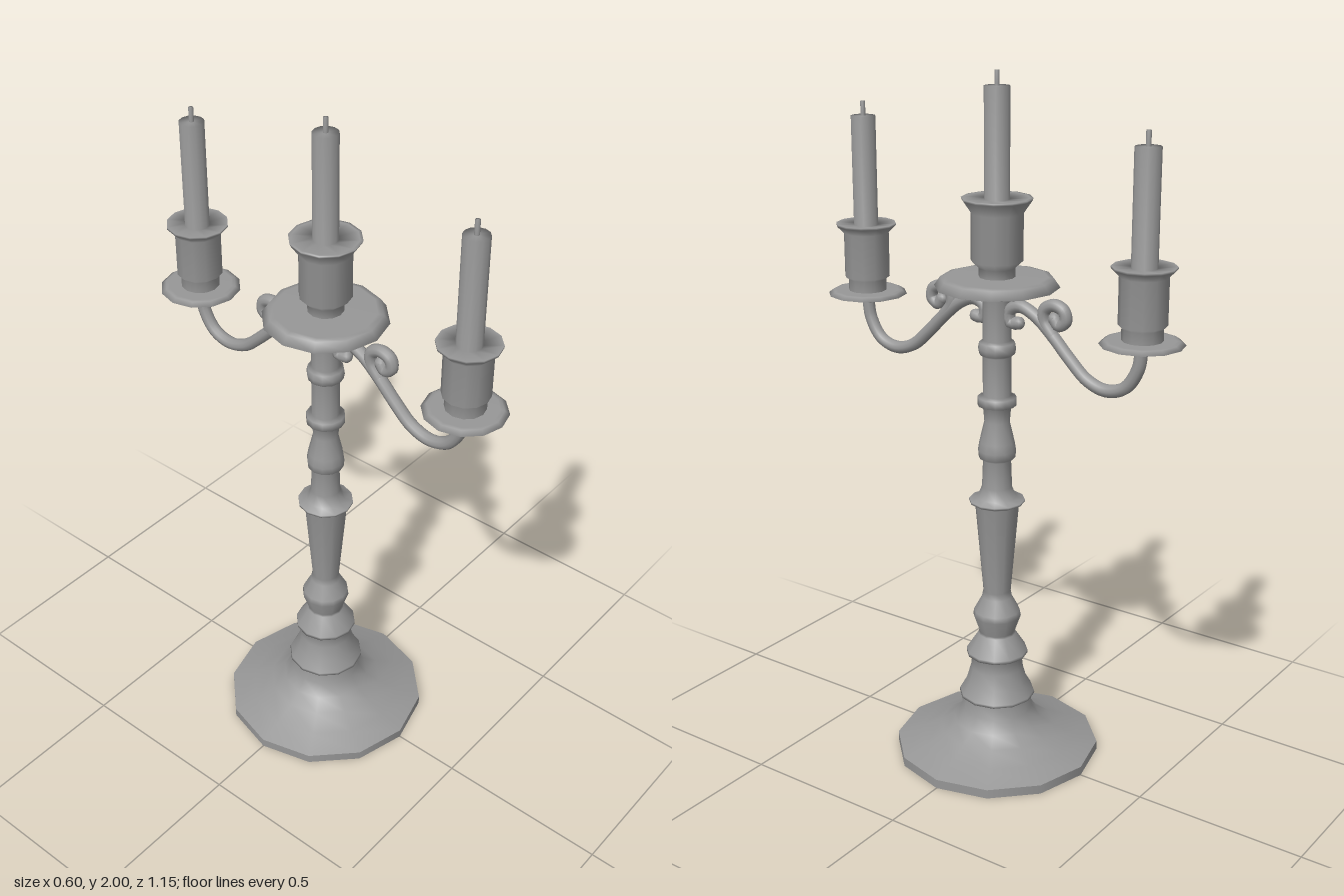
import * as THREE from 'three';

const metal = new THREE.MeshStandardMaterial({ color: 0x979797, side: THREE.DoubleSide });

// Smooth twelve-sided turned part from [radius, height] pairs, bottom to top
function turned(name, profile) {
  const points = profile.map(([r, y]) => new THREE.Vector2(r, y));
  const mesh = new THREE.Mesh(new THREE.LatheGeometry(points, 12), metal);
  mesh.name = name;
  return mesh;
}

// Round bar bent along [z, y] pairs
function bar(name, path, radius) {
  const curve = new THREE.CatmullRomCurve3(path.map(([z, y]) => new THREE.Vector3(0, y, z)));
  const group = new THREE.Group();
  group.name = name;
  group.add(new THREE.Mesh(new THREE.TubeGeometry(curve, 48, radius, 10), metal));
  for (const t of [0, 1]) {
    const end = new THREE.Mesh(new THREE.SphereGeometry(radius, 10, 6), metal);
    end.position.copy(curve.getPoint(t));
    group.add(end);
  }
  return group;
}

// Wick standing on a candle
function wick(bottom, top) {
  return turned('wick', [[0.007, bottom], [0.007, top], [0, top]]);
}

export function createModel() {
  const model = new THREE.Group();
  model.name = 'candelabrum';

  // Hollow foot, open underneath
  model.add(turned('footRim', [[0.3, 0], [0.3, 0.027]]));
  model.add(turned('foot', [
    [0.3, 0.027], [0.23, 0.05], [0.17, 0.077], [0.13, 0.103], [0.105, 0.14], [0.1, 0.18]
  ]));

  // Turned stem
  model.add(turned('stem', [
    [0.1, 0.178], [0.112, 0.183], [0.11, 0.19], [0.09, 0.225], [0.077, 0.27], [0.072, 0.312],
    [0.09, 0.314], [0.09, 0.324], [0.055, 0.378], [0.052, 0.384], [0.07, 0.435], [0.067, 0.452],
    [0.044, 0.495], [0.04, 0.515], [0.063, 0.785], [0.08, 0.794], [0.08, 0.8],
    [0.056, 0.808], [0.043, 0.84], [0.04, 0.92], [0.052, 0.928], [0.054, 0.95], [0.05, 0.975],
    [0.036, 1.035], [0.04, 1.08], [0.055, 1.083], [0.055, 1.107], [0.04, 1.112],
    [0.04, 1.225], [0.05, 1.232], [0.053, 1.248], [0.05, 1.265], [0.04, 1.272],
    [0.04, 1.395], [0.056, 1.395], [0.056, 1.42]
  ]));

  // Centre pan, then cup and candle turned in one piece
  model.add(turned('centrePan', [
    [0, 1.418], [0.155, 1.418], [0.173, 1.423], [0.156, 1.447], [0.14, 1.45], [0, 1.45]
  ]));
  model.add(turned('centreCupAndCandle', [
    [0.05, 1.445], [0.05, 1.475], [0.072, 1.495], [0.072, 1.625],
    [0.096, 1.66], [0.098, 1.666], [0.09, 1.666], [0.035, 1.662], [0.035, 1.96], [0, 1.96]
  ]));
  model.add(wick(1.955, 2));

  // Mirrored front and back arms
  for (const side of [1, -1]) {
    const arm = new THREE.Group();
    arm.name = side > 0 ? 'frontArm' : 'backArm';

    arm.add(bar('branch', [
      [0.46, 1.33], [0.45, 1.265], [0.412, 1.208], [0.355, 1.19], [0.295, 1.208],
      [0.24, 1.255], [0.18, 1.315], [0.125, 1.36], [0.075, 1.378], [0.042, 1.36],
      [0.046, 1.328], [0.072, 1.33]
    ].map(([z, y]) => [z * side, y]), 0.018));
    arm.add(bar('scroll', [
      [0.185, 1.31], [0.155, 1.35], [0.158, 1.382], [0.187, 1.397], [0.218, 1.386],
      [0.224, 1.36], [0.203, 1.344], [0.188, 1.36]
    ].map(([z, y]) => [z * side, y]), 0.018));

    // Small pan, cup and candle at the end of the arm
    const holder = new THREE.Group();
    holder.name = 'holder';
    holder.position.z = 0.46 * side;
    holder.add(turned('panBase', [[0, 1.318], [0.045, 1.318], [0.05, 1.333]]));
    holder.add(turned('pan', [
      [0, 1.332], [0.1, 1.332], [0.114, 1.336], [0.1, 1.346], [0.09, 1.347], [0, 1.347]
    ]));
    holder.add(turned('cupAndCandle', [
      [0.055, 1.34], [0.055, 1.38], [0.065, 1.388], [0.065, 1.515],
      [0.086, 1.536], [0.086, 1.542], [0.035, 1.537], [0.035, 1.845], [0, 1.845]
    ]));
    holder.add(wick(1.84, 1.885));
    arm.add(holder);
    model.add(arm);
  }
  return model;
}
